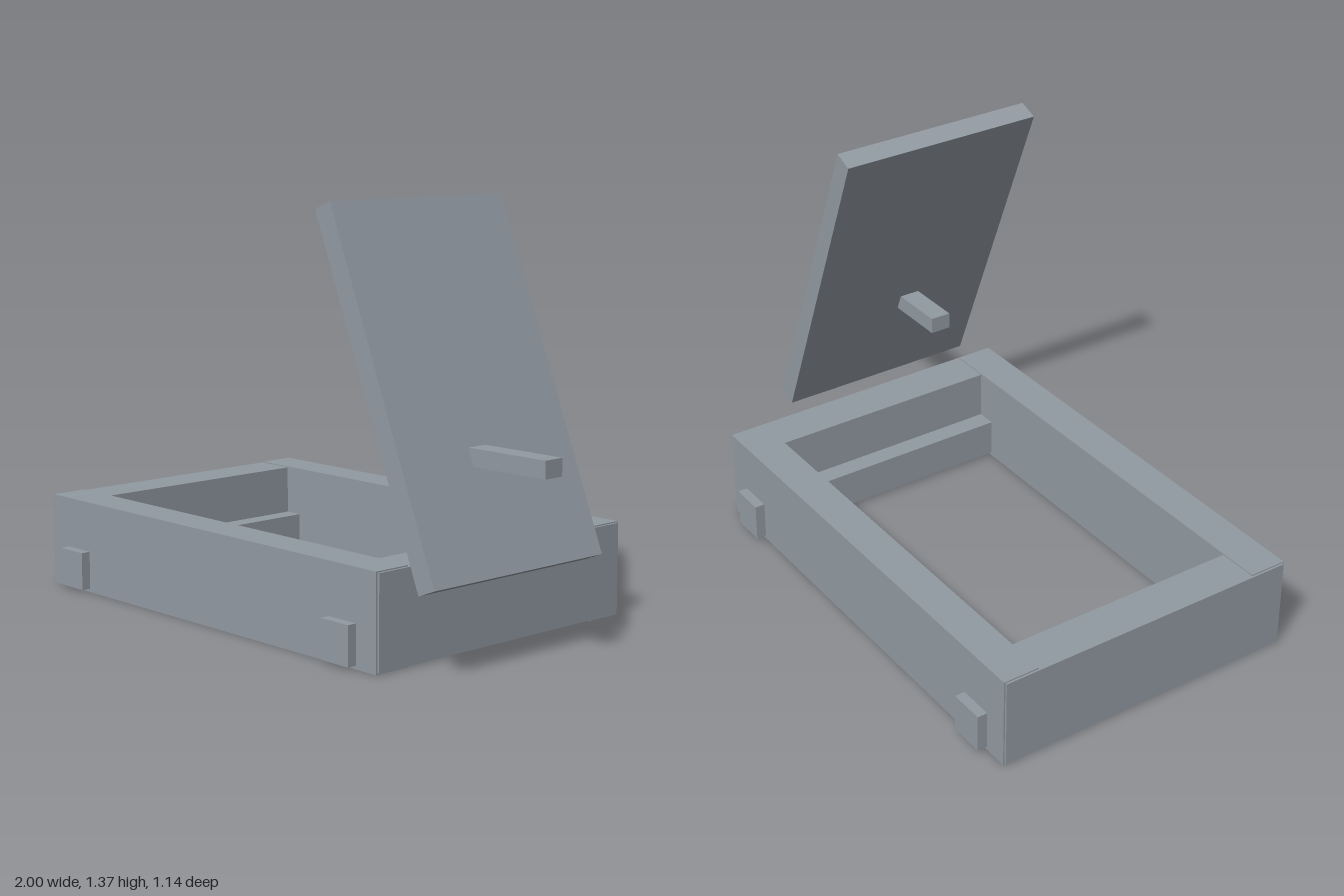
import * as THREE from 'three';

export function createModel() {
  const model = new THREE.Group();
  const grey = new THREE.MeshStandardMaterial({ color: 0x929aa2 });
  grey.name = 'slate grey';

  // Box given by its lower and upper limits on each axis
  function block(name, [x0, x1], [y0, y1], [z0, z1]) {
    const mesh = new THREE.Mesh(new THREE.BoxGeometry(x1 - x0, y1 - y0, z1 - z0), grey);
    mesh.position.set((x0 + x1) / 2, (y0 + y1) / 2, (z0 + z1) / 2);
    mesh.name = name;
    model.add(mesh);
    return mesh;
  }

  // Frame: two long rails and two end rails
  block('frontRail', [-0.993, 0.628], [0, 0.31], [0.406, 0.535]);
  block('backRail', [-0.993, 0.628], [0, 0.31], [-0.535, -0.41]);
  block('endRailRight', [-1, -0.855], [0.006, 0.306], [-0.53, 0.53]);
  block('endRailLeft', [0.49, 0.636], [0.006, 0.306], [-0.53, 0.53]);

  // Cross bars that pass through the long rails
  for (const [side, x] of [['Right', -0.849], ['Left', 0.482]]) {
    block('crossBar' + side, [x - 0.06, x + 0.06], [0.012, 0.14], [-0.569, 0.567]);
  }

  // Leaning board
  const board = block('board', [0.5525, 0.6225], [0.2275, 1.4005], [-0.215, 0.507]);
  board.rotation.z = Math.atan2(0.44, 1.087);

  // Peg through the board
  block('peg', [0.42, 1], [0.592, 0.647], [0.151, 0.223]);

  return model;
}
